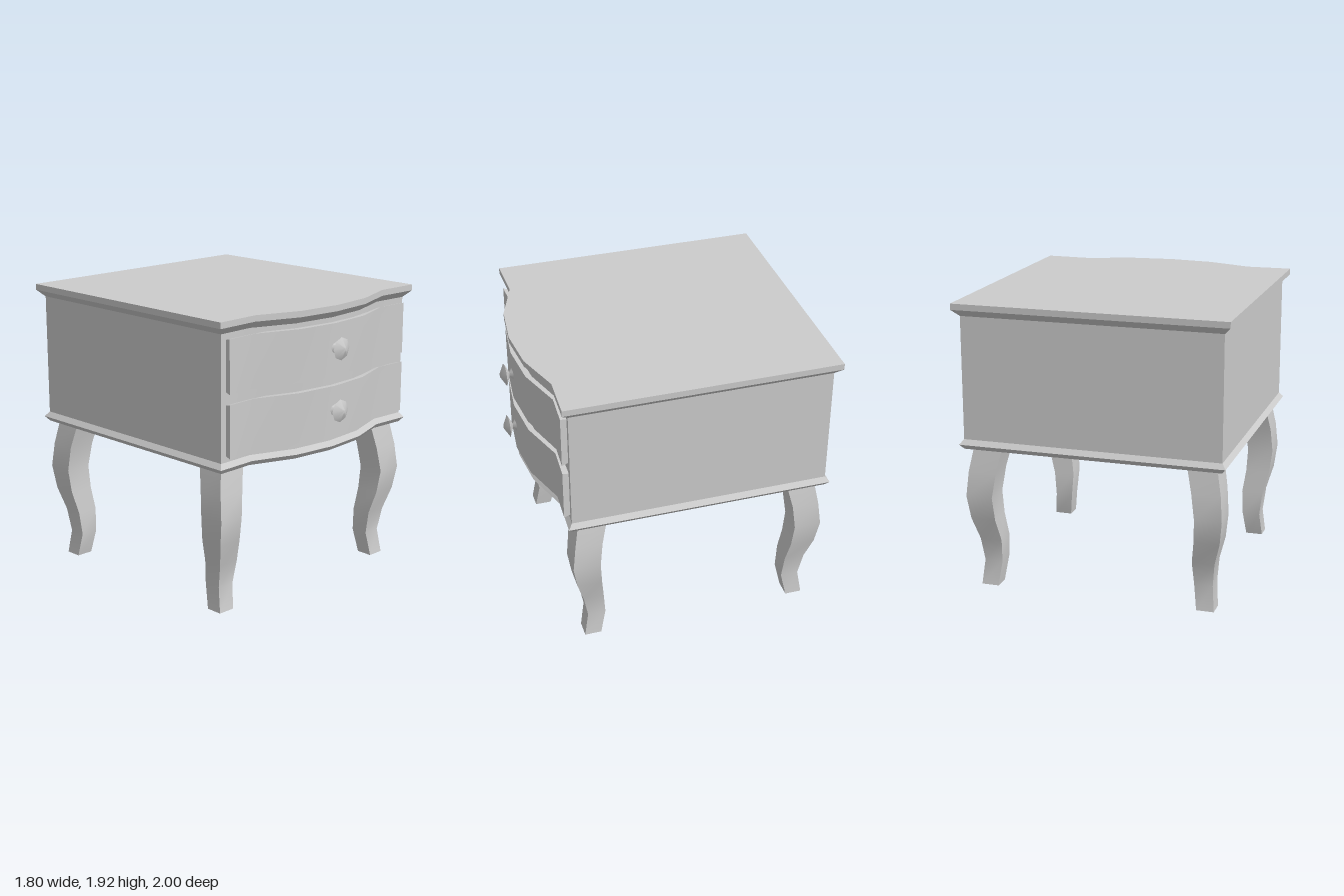
import * as THREE from 'three';
import { toCreasedNormals } from 'three/addons/utils/BufferGeometryUtils.js';

const material = new THREE.MeshStandardMaterial({ color: 0xcccccc });

// Closed solid through rings of [x, y, z] points, listed from bottom to top.
function loft(rings) {
  const plan = (ring) => ring.map(([x, , z]) => new THREE.Vector2(x, z));
  // every ring runs anticlockwise seen from above
  if (THREE.ShapeUtils.area(plan(rings[0])) > 0) rings = rings.map((r) => [...r].reverse());
  const n = rings[0].length;
  const pos = [];
  const tri = (a, b, c) => pos.push(...a, ...b, ...c);
  for (let k = 0; k < rings.length - 1; k++) {
    const lo = rings[k], hi = rings[k + 1];
    for (let i = 0; i < n; i++) {
      const j = (i + 1) % n;
      tri(lo[i], lo[j], hi[j]);
      tri(lo[i], hi[j], hi[i]);
    }
  }
  const cap = (ring, up) => {
    const flat = plan(ring);
    for (const [a, b, c] of THREE.ShapeUtils.triangulateShape(flat, [])) {
      const facesUp = THREE.ShapeUtils.area([flat[a], flat[b], flat[c]]) < 0;
      if (facesUp === up) tri(ring[a], ring[b], ring[c]);
      else tri(ring[a], ring[c], ring[b]);
    }
  };
  cap(rings[0], false);
  cap(rings[rings.length - 1], true);
  const geo = new THREE.BufferGeometry();
  geo.setAttribute('position', new THREE.Float32BufferAttribute(pos, 3));
  return toCreasedNormals(geo, THREE.MathUtils.degToRad(28));
}

// Serpentine front edge, from one side to the other, moved out by d.
const wave = (halfWidth, y, d) =>
  [[-halfWidth, 0.755], [-0.6, 0.745], [-0.3, 0.85], [0, 0.88], [0.3, 0.85], [0.6, 0.745], [halfWidth, 0.755]]
    .map(([x, z]) => [x, y, z + d]);

// Cabinet plan at height y, grown by d on all sides.
const outline = ([y, d]) => {
  const w = 0.855 + d, back = -0.955 - d;
  return [...wave(w, y, d), [w, y, back], [-w, y, back]];
};

// Drawer plan: bowed front, with the rear edge drawn in a little.
const drawerRing = (y, rearY) => [...wave(0.82, y, 0.04), [0.808, rearY, 0.73], [-0.808, rearY, 0.73]];

// Leg sections: y, outer x, inner x, outer z, inner z.
const legSections = [
  [0, 0.796, 0.68, 0.68, 0.568],
  [0.165, 0.78, 0.658, 0.652, 0.532],
  [0.325, 0.796, 0.648, 0.682, 0.545],
  [0.48, 0.838, 0.67, 0.729, 0.564],
  [0.64, 0.856, 0.678, 0.756, 0.575],
  [0.805, 0.842, 0.653, 0.736, 0.556],
  [0.97, 0.811, 0.617, 0.706, 0.516],
];
const legMiddle = -0.097; // the front and back legs mirror about this z

function legGeometry(sx, sz) {
  return loft(legSections.map(([y, xo, xi, zo, zi]) =>
    [[xo, zo], [xi, zo], [xi, zi], [xo, zi]].map(([x, z]) =>
      [sx * x, y, legMiddle + sz * (z - legMiddle)])));
}

export function createModel() {
  const model = new THREE.Group();
  model.name = 'nightstand';
  const add = (name, geo) => {
    const mesh = new THREE.Mesh(geo, material);
    mesh.name = name;
    model.add(mesh);
    return mesh;
  };

  // Cabinet with its mouldings
  add('baseMoulding', loft([[0.965, 0], [0.997, 0.026], [1.03, 0]].map(outline)));
  add('cabinetBody', loft([[1.03, 0], [1.84, 0]].map(outline)));
  add('tableTop', loft([[1.84, 0], [1.885, 0.045], [1.925, 0.045]].map(outline)));

  // Drawers, each with an eight-sided knob
  const knobProfile = [[0, 0.91], [0.042, 0.915], [0.014, 0.937], [0.075, 0.965], [0.014, 0.998], [0, 1]]
    .map(([r, z]) => new THREE.Vector2(r, z));
  const knob = toCreasedNormals(new THREE.LatheGeometry(knobProfile, 8).rotateX(Math.PI / 2), 0.8);
  [['lower', 1.06, 1.402, 1.244], ['upper', 1.466, 1.81, 1.65]].forEach(([level, y0, y1, knobY]) => {
    add(level + 'Drawer', loft([drawerRing(y0, y0 + 0.015), drawerRing(y1, y1 - 0.015)]));
    add(level + 'Knob', knob).position.y = knobY;
  });

  // Four curved legs
  for (const [side, sx] of [['Left', 1], ['Right', -1]]) {
    add('front' + side + 'Leg', legGeometry(sx, 1));
    add('back' + side + 'Leg', legGeometry(sx, -1));
  }
  return model;
}
